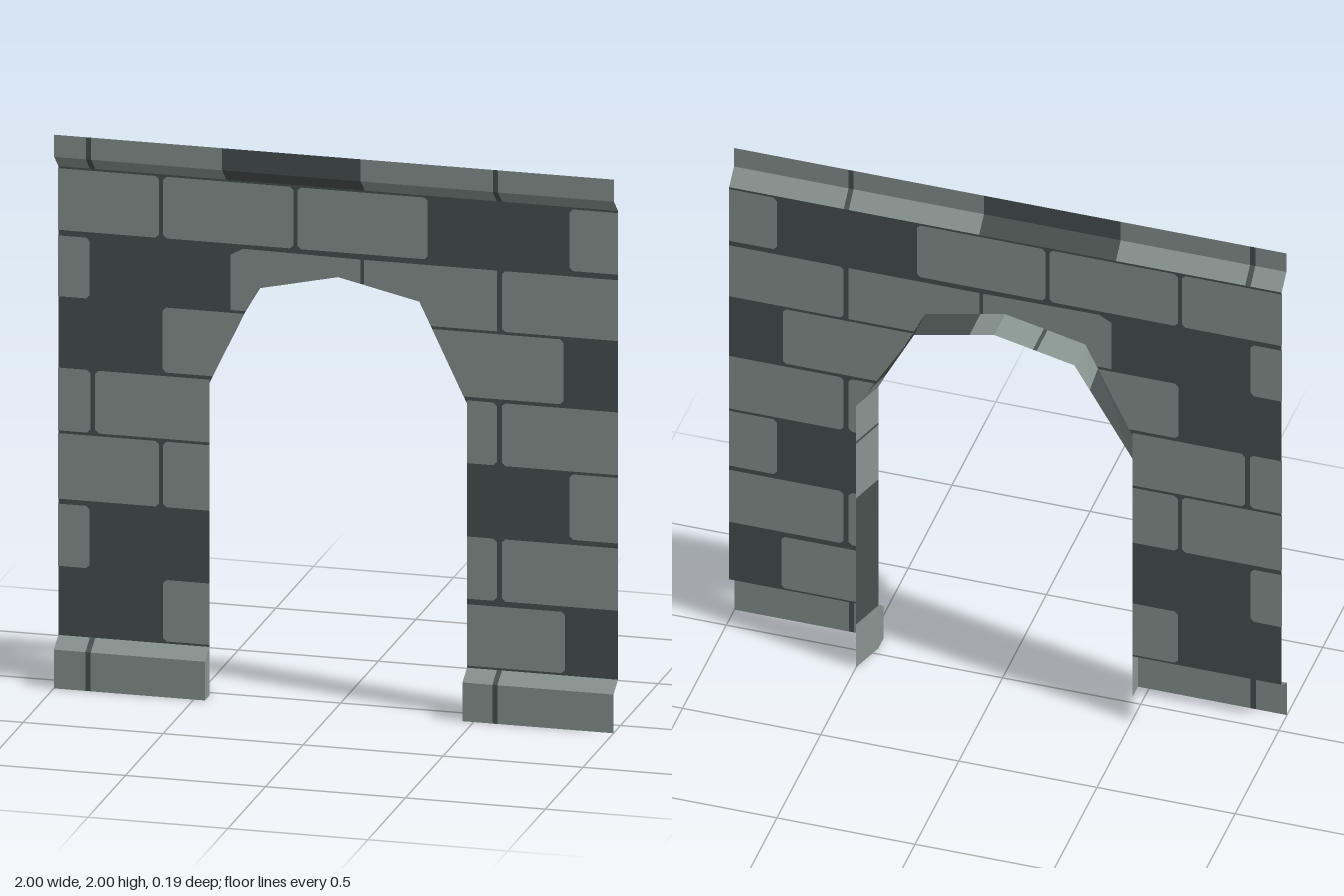
import * as THREE from 'three';

const lightStone = new THREE.MeshStandardMaterial({ color: 0x87938f, side: THREE.DoubleSide });
lightStone.name = 'lightStone';
const darkStone = new THREE.MeshStandardMaterial({ color: 0x48514f, side: THREE.DoubleSide });
darkStone.name = 'darkStone';

const WALL_Z = 0.032, BACK_Z = -0.095, FRONT_Z = 0.093, JAMB = 0.46;
const WALL_BOTTOM = 0.175, WALL_TOP = 1.87;

// Front outline of the opening, from one springing point to the other
const ARCH = [[JAMB, 1.13], [0.29, 1.485], [0, 1.55], [-0.29, 1.485], [-JAMB, 1.13]];

// Flat polygons (corner lists in 3D, convex) gathered into one mesh
function panels(name, polygons, material) {
  const pos = [];
  for (const p of polygons)
    for (let i = 1; i < p.length - 1; i++) pos.push(...p[0], ...p[i], ...p[i + 1]);
  const geo = new THREE.BufferGeometry();
  geo.setAttribute('position', new THREE.Float32BufferAttribute(pos, 3));
  geo.computeVertexNormals();
  const mesh = new THREE.Mesh(geo, material);
  mesh.name = name;
  return mesh;
}

const toShape = pts => new THREE.Shape(pts.map(p => new THREE.Vector2(p[0], p[1])));

// Block outline with clipped corners, square where it meets the wall's ends
function block(x0, x1, y0, y1) {
  const c = 0.012;
  const cut = x => (Math.abs(x) === JAMB || Math.abs(x) === 1 ? 0 : c);
  const a = cut(x0), b = cut(x1);
  const pts = [[x0 + a, y0], [x1 - b, y0]];
  if (b) pts.push([x1, y0 + b], [x1, y1 - b]);
  pts.push([x1 - b, y1], [x0 + a, y1]);
  if (a) pts.push([x0, y1 - a], [x0, y0 + a]);
  return pts;
}

// Moulding: a (y, z) profile swept along x, split into coloured spans
function moulding(name, profile, spans) {
  const group = new THREE.Group();
  group.name = name;
  for (const material of [lightStone, darkStone]) {
    const quads = [];
    for (const [x0, x1, m] of spans) {
      if (m !== material) continue;
      for (let i = 0; i < profile.length - 1; i++) {
        const [ya, za] = profile[i], [yb, zb] = profile[i + 1];
        quads.push([[x0, ya, za], [x1, ya, za], [x1, yb, zb], [x0, yb, zb]]);
      }
    }
    if (quads.length) group.add(panels(name + (material === lightStone ? 'Blocks' : 'Joints'), quads, material));
  }
  return group;
}

function createWall() {
  const wall = new THREE.Group();
  wall.name = 'wall';

  // Dark sheet with the arched opening
  const sheet = new THREE.Mesh(new THREE.ShapeGeometry(toShape([
    [JAMB, WALL_BOTTOM], [1, WALL_BOTTOM], [1, WALL_TOP], [-1, WALL_TOP],
    [-1, WALL_BOTTOM], [-JAMB, WALL_BOTTOM], ...ARCH.slice().reverse(),
  ])), darkStone);
  sheet.name = 'wallSheet';
  sheet.position.z = WALL_Z;
  wall.add(sheet);

  // Light blocks, course by course: bottom, top, then x spans
  const courses = [
    [0.183, 0.405, [[-0.625, -JAMB], [JAMB, 0.81]]],
    [0.425, 0.65, [[-1, -0.888], [JAMB, 0.567], [0.585, 1]]],
    [0.668, 0.905, [[-1, -0.64], [-0.625, -JAMB], [0.827, 1]]],
    [0.915, 1.142, [[-1, -0.885], [-0.868, -JAMB], [JAMB, 0.567], [0.585, 1]]],
    [1.4, 1.62, [[-1, -0.888], [0.585, 1]]],
    [1.64, 1.863, [[-1, -0.64], [-0.625, -0.16], [-0.145, 0.32], [0.827, 1]]],
  ];
  const outlines = [];
  for (const [y0, y1, spans] of courses)
    for (const [x0, x1] of spans) outlines.push(block(x0, x1, y0, y1));

  // Blocks cut by the arch
  for (const [s, outer] of [[-1, 0.627], [1, 0.805]])
    outlines.push([[s * outer, 1.167], [s * (outer - 0.012), 1.155], [s * 0.448, 1.155],
      [s * 0.3355, 1.39], [s * (outer - 0.012), 1.39], [s * outer, 1.378]]);
  outlines.push([[-0.385, 1.4], [-0.331, 1.4], [-0.29, 1.485], [0, 1.55], [0.08, 1.532],
    [0.08, 1.62], [-0.34, 1.625], [-0.385, 1.6]]);
  outlines.push([[0.093, 1.529], [0.29, 1.485], [0.331, 1.4], [0.567, 1.4], [0.567, 1.62], [0.093, 1.62]]);

  // The sheet shows its blocks on both faces
  const shapes = outlines.map(toShape);
  for (const [name, dz] of [['frontBlocks', 0.0015], ['backBlocks', -0.0015]]) {
    const mesh = new THREE.Mesh(new THREE.ShapeGeometry(shapes), lightStone);
    mesh.name = name;
    mesh.position.z = WALL_Z + dz;
    wall.add(mesh);
  }
  return wall;
}

// Splayed lining of the opening, followed up the left jamb and down the right
function createReveal() {
  const L = lightStone, D = darkStone;
  const stations = [
    [JAMB, 0, L], [JAMB, 0.185, D], [JAMB, 0.73, L], [JAMB, 0.966, D], [JAMB, 0.976, L],
    [JAMB, 1.13, L], [0.426, 1.2, D], [0.29, 1.485, D], [0.09, 1.53, L], [0, 1.55, L],
    [-0.14, 1.519, D], [-0.153, 1.516, L], [-0.29, 1.485, L], [-0.335, 1.391, D],
    [-JAMB, 1.13, D], [-JAMB, 0.91, L], [-JAMB, 0.665, D], [-JAMB, 0.652, L],
    [-JAMB, 0.41, D], [-JAMB, 0.185, L], [-JAMB, 0],
  ];
  const backX = x => x + Math.sign(x) * 0.04 * Math.max(0, (Math.abs(x) - 0.29) / 0.17);
  const quads = { light: [], dark: [] };
  for (let i = 0; i < stations.length - 1; i++) {
    const [xa, ya, m] = stations[i], [xb, yb] = stations[i + 1];
    quads[m === L ? 'light' : 'dark'].push([
      [xa, ya, WALL_Z], [xb, yb, WALL_Z], [backX(xb), yb, BACK_Z], [backX(xa), ya, BACK_Z]]);
  }
  const group = new THREE.Group();
  group.name = 'archReveal';
  group.add(panels('revealLightBlocks', quads.light, L), panels('revealDarkBlocks', quads.dark, D));
  return group;
}

export function createModel() {
  const model = new THREE.Group();
  model.name = 'stoneArchway';
  const L = lightStone, D = darkStone;
  model.add(createWall(), createReveal());

  // Projecting cornice, open behind
  const top = 0.087;
  const corniceSpans = [[-1, -0.887, L], [-0.887, -0.868, D], [-0.868, -0.4, L], [-0.4, 0.095, D],
    [0.095, 0.567, L], [0.567, 0.585, D], [0.585, 1, L]];
  model.add(moulding('cornice', [[WALL_TOP, WALL_Z], [1.92, top], [2, top]], corniceSpans));

  // Plinths with sloped tops, open behind and at the outer ends
  const plinth = [[0, FRONT_Z], [0.14, FRONT_Z], [WALL_BOTTOM, WALL_Z]];
  model.add(moulding('rightPlinth', plinth, [[-1, -0.887, L], [-0.887, -0.868, D], [-0.868, -JAMB, L]]));
  model.add(moulding('leftPlinth', plinth, [[JAMB, 0.567, L], [0.567, 0.585, D], [0.585, 1, L]]));

  // Inner end of each plinth
  for (const [name, x] of [['rightPlinthEnd', -JAMB], ['leftPlinthEnd', JAMB]]) {
    const corners = [[x, 0, WALL_Z], ...plinth.map(([y, z]) => [x, y, z])];
    model.add(panels(name, [x > 0 ? corners : corners.reverse()], L));
  }
  return model;
}
